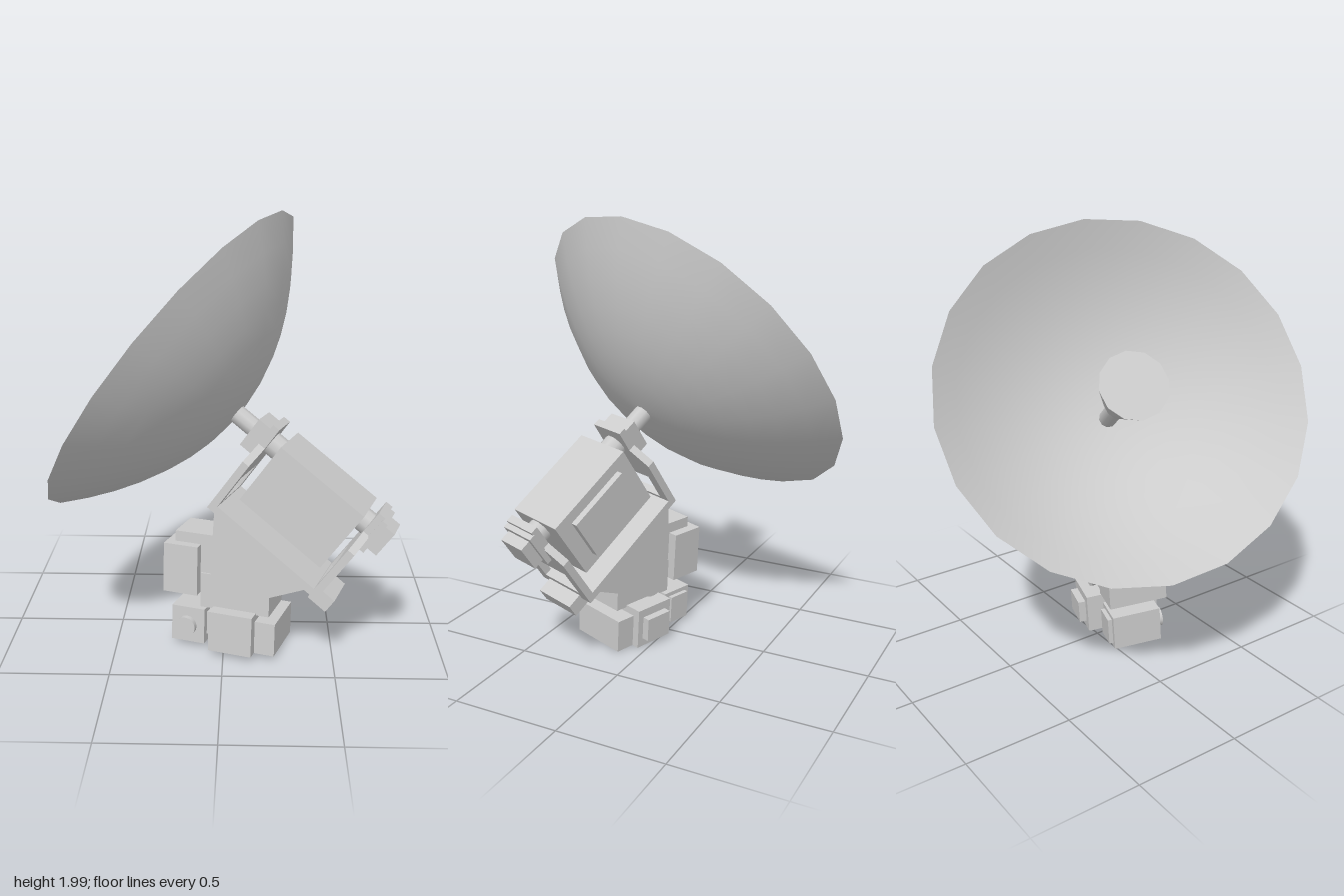
import * as THREE from 'three';

const mat = new THREE.MeshStandardMaterial({ color: 0xcccccc });
const matDouble = new THREE.MeshStandardMaterial({ color: 0xcccccc, side: THREE.DoubleSide });

function add(parent, name, geometry, material = mat) {
  const mesh = new THREE.Mesh(geometry, material);
  mesh.name = name;
  parent.add(mesh);
  return mesh;
}

// Box given by its limits on each axis
function box(parent, name, [x0, x1], [y0, y1], [z0, z1]) {
  const g = new THREE.BoxGeometry(x1 - x0, y1 - y0, z1 - z0);
  g.translate((x0 + x1) / 2, (y0 + y1) / 2, (z0 + z1) / 2);
  return add(parent, name, g);
}

// Round bar along x, from x0 (radius r0) to x1 (radius r1)
function bar(parent, name, x0, x1, r0, r1, sides = 12) {
  const g = new THREE.CylinderGeometry(r0, r1, x1 - x0, sides);
  g.rotateZ(Math.PI / 2).translate((x0 + x1) / 2, 0, 0);
  return add(parent, name, g);
}

// Windowed end plate of the cradle, lying across x
function endPlate(parent, name, x, thickness) {
  const half = [[0.165, -0.37], [0.165, -0.09], [0.085, -0.01], [0.085, 0.1]];
  const outline = [...half, ...half.map(([z, y]) => [-z, y]).reverse()];
  const shape = new THREE.Shape(outline.map(p => new THREE.Vector2(...p)));
  const hole = [[-0.115, -0.32], [-0.115, -0.18], [0.115, -0.18], [0.115, -0.32]];
  shape.holes.push(new THREE.Path(hole.map(p => new THREE.Vector2(...p))));
  const g = new THREE.ExtrudeGeometry(shape, { depth: thickness, bevelEnabled: false });
  g.rotateY(Math.PI / 2).translate(x, 0, 0);
  add(parent, name, g);
}

// Tapered side lug with a rounded foot around the tilt pivot
function lug(parent, name, z) {
  const s = new THREE.Shape();
  s.moveTo(0.75, -0.34);
  s.lineTo(0.18, -0.34);
  s.absarc(0.465, -0.62, 0.09, Math.PI * 1.13, Math.PI * 1.87, false);
  s.closePath();
  const g = new THREE.ExtrudeGeometry(s, { depth: 0.035, bevelEnabled: false, curveSegments: 6 });
  g.translate(0, 0, z - 0.0175);
  add(parent, name, g);
}

function buildHead() {
  const head = new THREE.Group();
  head.name = 'head';

  // Dish: a shallow bowl opening along -x with its lowest point at the origin
  const R = 0.835, depth = 0.37, profile = [];
  for (let i = 0; i <= 8; i++) {
    const t = i / 8;
    profile.push(new THREE.Vector2(R * t, depth * t * t));
  }
  const bowl = new THREE.LatheGeometry(profile, 20);
  bowl.rotateZ(Math.PI / 2);
  add(head, 'dish', bowl, matDouble);

  // Feed horn and the shaft that carries the dish
  bar(head, 'feedHorn', -0.51, -0.25, 0.155, 0.075, 12);
  bar(head, 'shaft', -0.27, 0.12, 0.043, 0.043, 10);
  box(head, 'shaftFlange', [0.1, 0.165], [-0.075, 0.075], [-0.075, 0.075]);

  // Cradle: two end plates joined by a floor
  endPlate(head, 'frontPlate', 0.165, 0.035);
  endPlate(head, 'backPlate', 0.755, 0.035);
  box(head, 'cradleFloor', [0.17, 0.785], [-0.37, -0.335], [-0.165, 0.165]);
  box(head, 'cradleFoot', [0.76, 0.86], [-0.415, -0.345], [-0.105, 0.105]);

  // Drive housing hung between the plates
  box(head, 'housing', [0.255, 0.715], [-0.25, 0.065], [-0.14, 0.14]);
  box(head, 'housingPanel', [0.33, 0.64], [-0.2, 0.015], [-0.17, -0.13]);
  bar(head, 'axle', 0.16, 0.8, 0.055, 0.055, 10);
  box(head, 'axleFlange', [0.785, 0.815], [-0.085, 0.085], [-0.09, 0.09]);
  box(head, 'axleCap', [0.81, 0.865], [-0.065, 0.065], [-0.07, 0.07]);

  // Side lugs reaching down to the tilt pivot
  for (const side of [-1, 1]) lug(head, side > 0 ? 'frontLug' : 'backLug', side * 0.13);
  return head;
}

function buildMount() {
  const mount = new THREE.Group();
  mount.name = 'mount';

  // Tilt pivot, tower and counterweight
  const pivot = new THREE.CylinderGeometry(0.07, 0.07, 0.24, 12);
  pivot.rotateX(Math.PI / 2);
  add(mount, 'tiltPivot', pivot);
  box(mount, 'tower', [-0.15, 0.18], [-0.135, 0.03], [-0.105, 0.105]);
  box(mount, 'towerStop', [0.17, 0.26], [-0.02, 0.035], [-0.04, 0.04]);
  box(mount, 'counterweightArm', [-0.28, -0.04], [-0.05, 0.215], [-0.095, 0.095]);
  box(mount, 'counterweight', [-0.32, -0.155], [-0.07, 0.165], [-0.14, 0.14]);

  // Base with its attached boxes
  box(mount, 'base', [-0.085, 0.12], [-0.315, -0.125], [-0.19, 0.17]);
  box(mount, 'baseSideBox', [0.1, 0.215], [-0.315, -0.16], [-0.155, 0.12]);
  box(mount, 'basePanel', [-0.05, 0.09], [-0.275, -0.165], [-0.225, -0.18]);
  box(mount, 'driveBoxLink', [-0.14, -0.07], [-0.28, -0.17], [-0.08, 0.08]);
  box(mount, 'driveBox', [-0.285, -0.125], [-0.315, -0.145], [-0.12, 0.115]);
  box(mount, 'driveBoxPanel', [-0.26, -0.15], [-0.295, -0.165], [-0.14, -0.11]);

  // Round knob on the drive box and round plate under the base
  const knob = new THREE.CylinderGeometry(0.047, 0.047, 0.03, 16);
  knob.rotateX(Math.PI / 2).translate(-0.21, -0.235, 0.125);
  add(mount, 'driveKnob', knob);
  const plate = new THREE.CylinderGeometry(0.09, 0.09, 0.01, 20);
  plate.translate(0.02, -0.317, 0);
  add(mount, 'turnPlate', plate);
  return mount;
}

export function createModel() {
  const model = new THREE.Group();
  model.name = 'dishAntenna';

  // Both share the same heading and lean; the head also tilts upward
  const mount = buildMount();
  mount.rotation.set(-0.068, -0.309, 0, 'YXZ');
  mount.position.set(0.07, 0.335, 0.165);

  const head = buildHead();
  head.rotation.set(-0.068, -0.309, -0.611, 'YXZ');
  head.position.set(0.06, 1.1, 0.1);

  model.add(mount, head);
  return model;
}
